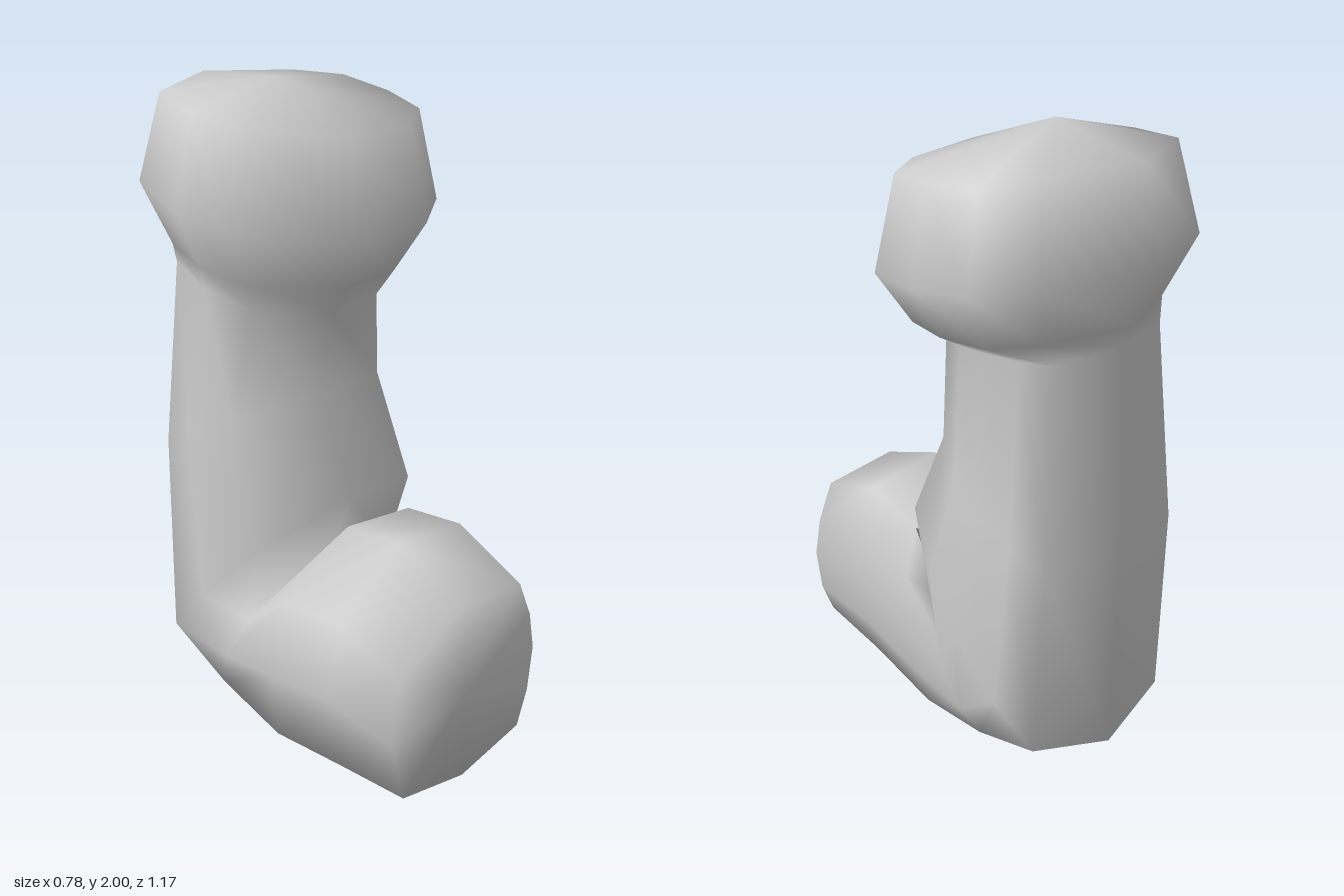
import * as THREE from 'three';

// Ten-sided cross-sections: [across, inner(+1) to outer(-1)]
const BODY = [[-0.1, 1], [0.74, 0.92], [0.92, 0.5], [1, 0.08], [0.95, -0.42],
  [0.82, -0.8], [0, -1], [-0.83, -0.84], [-1, -0.15], [-0.9, 0.52]];
const HEAD = [[-0.18, 1], [0.5, 0.92], [0.91, 0.62], [1, 0.13], [0.94, -0.4],
  [0.6, -0.7], [-0.18, -1], [-0.87, -0.68], [-1, -0.08], [-0.9, 0.47]];

// Rings along the bend: inner y, z, outer y, z, min x, max x, section
const RINGS = [
  [0.66, 0.58, 0.08, 0.58, -0.34, 0.245, BODY],    // flat front end
  [0.765, 0.34, 0.045, 0.32, -0.35, 0.25, BODY],
  [0.73, 0.12, 0.005, 0.04, -0.35, 0.26, BODY],
  [0.54, 0.0, 0.08, -0.24, -0.345, 0.27, BODY],    // crease
  [0.82, 0.12, 0.16, -0.53, -0.34, 0.28, BODY],    // lower back corner
  [1.11, -0.02, 0.84, -0.54, -0.315, 0.27, BODY],
  [1.38, 0.05, 1.46, -0.47, -0.29, 0.18, BODY],    // neck
  [1.46, 0.1, 1.53, -0.5, -0.32, 0.3, HEAD],
  [1.6, 0.18, 1.72, -0.59, -0.39, 0.39, HEAD],     // widest part of head
  [1.87, 0.13, 1.97, -0.51, -0.34, 0.33, HEAD],
];

function loft(rings, start, end) {
  const pos = [], index = [], n = BODY.length;
  for (const [iy, iz, oy, oz, x0, x1, section] of rings) {
    for (const [u, v] of section) {
      const t = (1 - v) / 2;
      pos.push(x0 + (x1 - x0) * (u + 1) / 2, iy + (oy - iy) * t, iz + (oz - iz) * t);
    }
  }
  pos.push(...start, ...end);
  const s = rings.length * n, last = s - n;
  for (let i = 0; i < n; i++) {
    const j = (i + 1) % n;
    for (let r = 0; r < last; r += n) {
      index.push(r + i, r + j, r + n + i, r + j, r + n + j, r + n + i);
    }
    index.push(s, j, i, s + 1, last + i, last + j);
  }
  const geo = new THREE.BufferGeometry();
  geo.setAttribute('position', new THREE.Float32BufferAttribute(pos, 3));
  geo.setIndex(index);
  geo.computeVertexNormals();
  return geo;
}

export function createModel() {
  const group = new THREE.Group();
  group.name = 'bentFigure';
  const body = new THREE.Mesh(
    loft(RINGS, [-0.05, 0.37, 0.585], [-0.08, 2, -0.18]),
    new THREE.MeshStandardMaterial({ color: 0xcccccc }),
  );
  body.name = 'body';
  group.add(body);
  return group;
}
